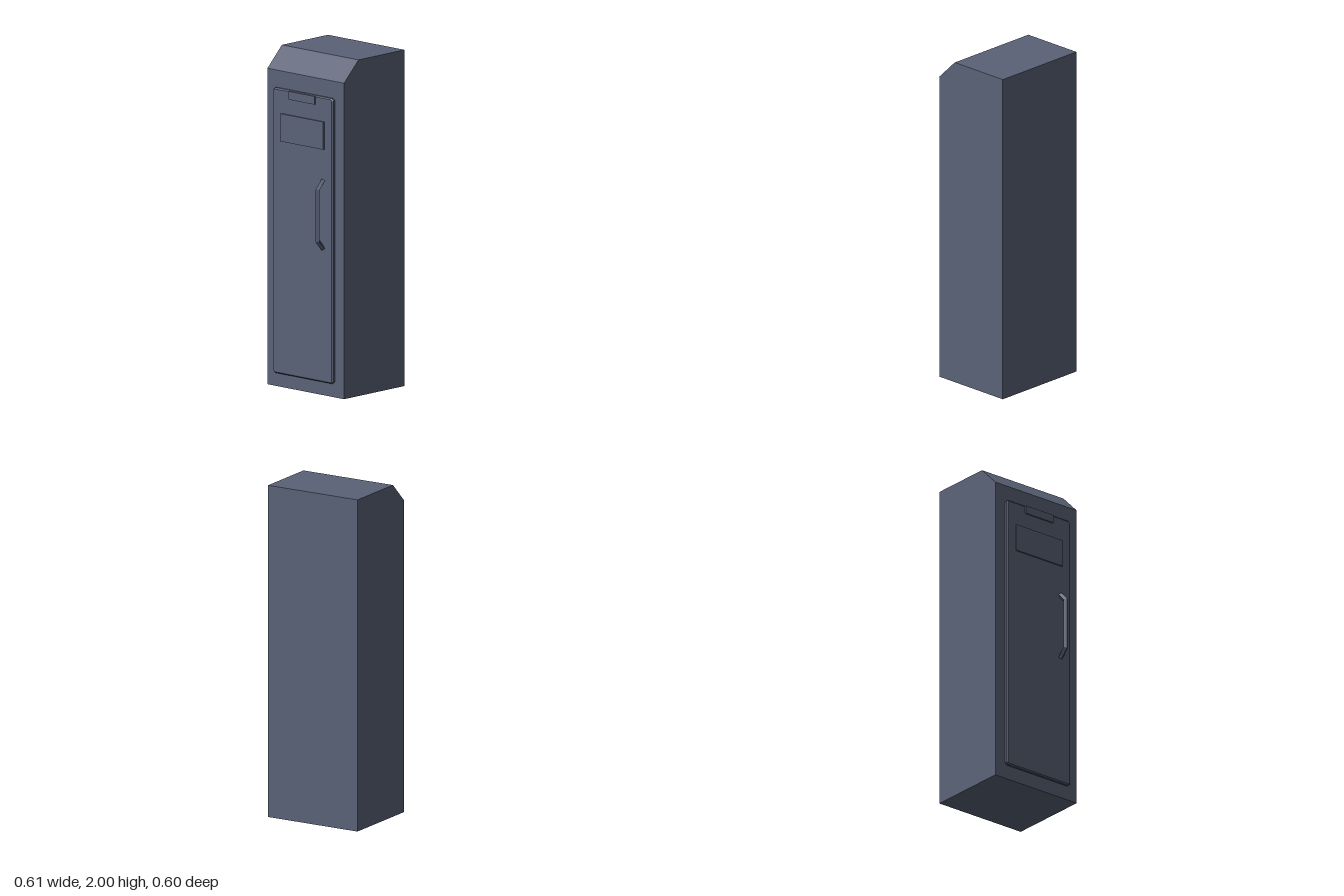
import * as THREE from 'three';

const steel = new THREE.MeshStandardMaterial({ color: 0x5a6276 });
steel.name = 'blue grey steel';

function addPart(group, name, geometry) {
  const mesh = new THREE.Mesh(geometry, steel);
  mesh.name = name;
  group.add(mesh);
  return mesh;
}

// Flat plate from x0..x1, y0..y1, z0..z1
function plate(x0, x1, y0, y1, z0, z1) {
  return new THREE.BoxGeometry(x1 - x0, y1 - y0, z1 - z0)
    .translate((x0 + x1) / 2, (y0 + y1) / 2, (z0 + z1) / 2);
}

// Cabinet: side profile with a sloped front top edge, extruded across x
function cabinetGeometry() {
  const profile = [[-0.212, 0], [0.3, 0], [0.3, 2], [-0.09, 2], [-0.212, 1.88]];
  const shape = new THREE.Shape(profile.map(([u, y]) => new THREE.Vector2(u, y)));
  return new THREE.ExtrudeGeometry(shape, { depth: 0.614, bevelEnabled: false })
    .translate(0, 0, -0.307)
    .rotateY(Math.PI / 2);
}

// Door: panel with clipped corners and a bevelled rim
function doorGeometry() {
  const b = 0.007, c = 0.008, x = 0.24 - b, y0 = 0.083 + b, y1 = 1.78 - b;
  const outline = [
    [-x + c, y0], [x - c, y0], [x, y0 + c], [x, y1 - c],
    [x - c, y1], [-x + c, y1], [-x, y1 - c], [-x, y0 + c],
  ];
  const shape = new THREE.Shape(outline.map(([px, py]) => new THREE.Vector2(px, py)));
  return new THREE.ExtrudeGeometry(shape, {
    depth: 0.012, bevelThickness: b, bevelSize: b, bevelSegments: 1,
  }).translate(0, 0, 0.212 + b);
}

// Handle: diamond bar swept along a bent path with mitred corners
function handleGeometry() {
  const path = [[0.88, 0.238], [0.93, 0.285], [1.235, 0.285], [1.285, 0.238]]
    .map(([y, z]) => new THREE.Vector2(y, z));
  const r = 0.015, x = 0.163;
  const normal = (a, b) => {
    const d = b.clone().sub(a).normalize();
    return new THREE.Vector2(-d.y, d.x);
  };
  const positions = [], index = [];
  path.forEach((p, i) => {
    const n0 = normal(path[Math.max(i - 1, 0)], path[Math.max(i, 1)]);
    const n1 = normal(path[Math.min(i, 2)], path[Math.min(i + 1, 3)]);
    const m = n0.clone().add(n1).normalize();
    m.multiplyScalar(r / m.dot(n0));
    positions.push(
      x, p.x + m.x, p.y + m.y,
      x + r, p.x, p.y,
      x, p.x - m.x, p.y - m.y,
      x - r, p.x, p.y,
    );
    if (i === 0) return;
    for (let k = 0; k < 4; k++) {
      const a = (i - 1) * 4 + k, b = (i - 1) * 4 + (k + 1) % 4;
      index.push(a, b, b + 4, a, b + 4, a + 4);
    }
  });
  // End caps
  index.push(0, 2, 1, 0, 3, 2, 12, 13, 14, 12, 14, 15);
  const geometry = new THREE.BufferGeometry();
  geometry.setAttribute('position', new THREE.Float32BufferAttribute(positions, 3));
  geometry.setIndex(index);
  const flat = geometry.toNonIndexed();
  flat.computeVertexNormals();
  return flat;
}

export function createModel() {
  const locker = new THREE.Group();
  locker.name = 'locker';
  addPart(locker, 'cabinet', cabinetGeometry());
  addPart(locker, 'door', doorGeometry());
  addPart(locker, 'topLatchPlate', plate(-0.104, 0.104, 1.728, 1.777, 0.23, 0.247));
  addPart(locker, 'nameplate', plate(-0.175, 0.173, 1.47, 1.635, 0.23, 0.247));
  addPart(locker, 'handle', handleGeometry());
  return locker;
}
